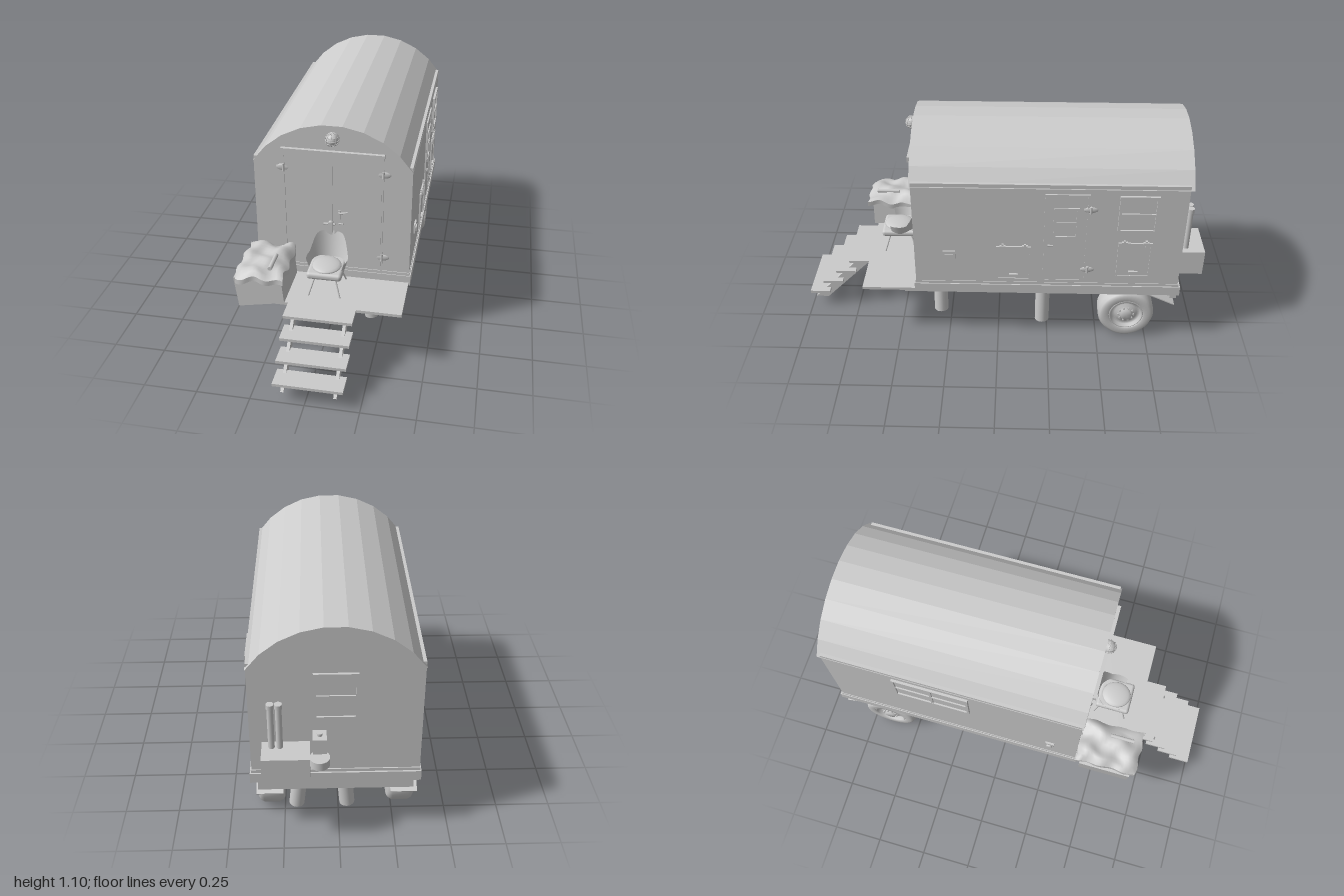
import * as THREE from 'three';
import { RoundedBoxGeometry } from 'three/addons/geometries/RoundedBoxGeometry.js';

const grey = new THREE.MeshStandardMaterial({ color: 0xcccccc });
const sheet = new THREE.MeshStandardMaterial({ color: 0xcccccc, side: THREE.DoubleSide });

function add(parent, name, geo, mat = grey) {
  const m = new THREE.Mesh(geo, mat);
  m.name = name;
  parent.add(m);
  return m;
}
// Box given by its limits on each axis
function box(parent, name, x0, x1, y0, y1, z0, z1) {
  const m = add(parent, name, new THREE.BoxGeometry(x1 - x0, y1 - y0, z1 - z0));
  m.position.set((x0 + x1) / 2, (y0 + y1) / 2, (z0 + z1) / 2);
  return m;
}
// Round bar between two points
function rod(parent, name, a, b, r, sides = 10) {
  const p = new THREE.Vector3(...a), d = new THREE.Vector3(...b).sub(p);
  const m = add(parent, name, new THREE.CylinderGeometry(r, r, d.length(), sides));
  m.position.copy(p).addScaledVector(d, 0.5);
  m.quaternion.setFromUnitVectors(new THREE.Vector3(0, 1, 0), d.normalize());
  return m;
}
function shapeOf(pts) {
  return new THREE.Shape(pts.map(p => new THREE.Vector2(...p)));
}
// Wall face: local x across, y up, z outwards
function face(parent, name, x, z, turn) {
  const g = new THREE.Group();
  g.name = name;
  g.position.set(x, 0, z);
  g.rotation.y = turn;
  parent.add(g);
  return g;
}
// Rectangular frame with an open middle
function frame(parent, name, x0, x1, y0, y1, w, depth) {
  const s = shapeOf([[x0, y0], [x1, y0], [x1, y1], [x0, y1]]);
  s.holes.push(new THREE.Path([[x0 + w, y0 + w], [x0 + w, y1 - w], [x1 - w, y1 - w], [x1 - w, y0 + w]].map(p => new THREE.Vector2(...p))));
  return add(parent, name, new THREE.ExtrudeGeometry(s, { depth, bevelEnabled: false }));
}
function windowOn(parent, x0, x1, y0, y1, cols, rows, d = 0.012) {
  frame(parent, 'windowFrame', x0, x1, y0, y1, 0.012, d);
  box(parent, 'windowPane', x0, x1, y0, y1, 0, 0.004);
  for (let i = 1; i < cols; i++) {
    const x = x0 + (x1 - x0) * i / cols;
    box(parent, 'windowMullion', x - 0.006, x + 0.006, y0, y1, 0, d * 0.9);
  }
  for (let i = 1; i < rows; i++) {
    const y = y0 + (y1 - y0) * i / rows;
    box(parent, 'windowRail', x0, x1, y - 0.005, y + 0.005, 0, d * 0.9);
  }
}
function hinge(parent, x, y, s = 1) {
  const leaf = add(parent, 'hingeLeaf', new THREE.SphereGeometry(1, 12, 6));
  leaf.scale.set(0.036 * s, 0.017 * s, 0.006);
  leaf.position.set(x, y, 0.004);
  rod(parent, 'hingePin', [x, y - 0.019 * s, 0.008], [x, y + 0.019 * s, 0.008], 0.006);
}
function hatch(parent, x0, x1, y0, y1) {
  frame(parent, 'hatchFrame', x0, x1, y0, y1, 0.008, 0.008);
  box(parent, 'hatchPanel', x0, x1, y0, y1, 0, 0.004);
  for (const x of [x0 + 0.03, x1 - 0.03]) {
    box(parent, 'hatchHinge', x - 0.014, x + 0.014, y1 - 0.01, y1 + 0.006, 0, 0.012);
    box(parent, 'hatchStrap', x - 0.005, x + 0.005, y1 - 0.03, y1 + 0.014, 0, 0.01);
  }
  const c = (x0 + x1) / 2;
  box(parent, 'hatchHandle', c - 0.022, c + 0.022, y0 + 0.028, y0 + 0.036, 0, 0.014);
}

function wheel(parent, x0, x1, side) {
  const g = face(parent, 'wheel', (x0 + x1) / 2, -0.645, side * Math.PI / 2);
  g.position.y = 0.142;
  const h = (x1 - x0) / 2;
  // Tyre and dished rim revolved around the axle
  const spin = (name, pts, n) => {
    const m = add(g, name, new THREE.LatheGeometry(pts.map(p => new THREE.Vector2(...p)), n), sheet);
    m.rotation.x = Math.PI / 2;
    return m;
  };
  spin('tyre', [[0.08, -h], [0.118, -h], [0.131, -h + 0.008], [0.14, -h + 0.025], [0.14, h - 0.025], [0.131, h - 0.008], [0.118, h], [0.09, h], [0.085, h - 0.008]], 40);
  spin('rim', [[0.086, h - 0.006], [0.078, h - 0.002], [0.073, h - 0.02], [0.055, h - 0.022], [0.045, h - 0.01], [0.03, h - 0.012], [0.028, h + 0.002], [0, h + 0.002]], 32);
  spin('innerDisc', [[0, -h + 0.02], [0.07, -h + 0.02], [0.08, -h]], 32);
  for (let i = 0; i < 10; i++) {
    const a = i * Math.PI / 5;
    rod(g, 'wheelNut', [0.038 * Math.cos(a), 0.038 * Math.sin(a), h - 0.015], [0.038 * Math.cos(a), 0.038 * Math.sin(a), h - 0.004], 0.005, 6);
  }
}

function chair(parent) {
  const g = face(parent, 'chair', 0.01, 0.515, 0);
  // Wrap-around shell, tall at the back, sinking to armrests
  const geo = new THREE.CylinderGeometry(0.098, 0.078, 1, 28, 5, true, Math.PI / 2 - 0.5, Math.PI + 1);
  const p = geo.attributes.position;
  for (let i = 0; i < p.count; i++) {
    const t = p.getY(i) + 0.5, z = p.getZ(i);
    const back = THREE.MathUtils.smoothstep(-z, 0.03, 0.085);
    p.setXYZ(i, p.getX(i), 0.41 + t * (0.065 + 0.085 * back), z - 0.012 * t * back);
  }
  geo.computeVertexNormals();
  add(g, 'chairShell', geo, sheet);
  add(g, 'chairSeat', new RoundedBoxGeometry(0.165, 0.035, 0.175, 3, 0.015)).position.set(0, 0.422, 0.005);
  const cushion = add(g, 'chairCushion', new THREE.SphereGeometry(1, 20, 10));
  cushion.scale.set(0.07, 0.018, 0.075);
  cushion.position.set(0, 0.44, 0.01);
  for (const sx of [-1, 1]) for (const sz of [-1, 1])
    rod(g, 'chairLeg', [sx * 0.045, 0.41, sz * 0.05], [sx * 0.075, 0.31, sz * 0.082], 0.004, 8);
}

function crate(parent) {
  const g = face(parent, 'coveredCrate', 0, 0.43, 0);
  const s = shapeOf([[-0.375, 0.275], [-0.158, 0.318], [-0.17, 0.445], [-0.395, 0.43]]);
  add(g, 'crate', new THREE.ExtrudeGeometry(s, { depth: 0.26, bevelEnabled: false }));
  // Crumpled cover with sagging edges
  const geo = new THREE.BoxGeometry(0.225, 0.025, 0.31, 14, 1, 18);
  const p = geo.attributes.position;
  for (let i = 0; i < p.count; i++) {
    const x = p.getX(i), z = p.getZ(i);
    const edge = Math.max(Math.abs(x) / 0.1125, Math.abs(z) / 0.155);
    const lump = 0.009 * Math.sin(x * 45 + z * 20) + 0.006 * Math.sin(z * 55 - x * 30);
    p.setXYZ(i, x + 0.005 * Math.sin(z * 50), p.getY(i) + lump - 0.028 * Math.pow(edge, 6), z + 0.006 * Math.sin(x * 60));
  }
  geo.computeVertexNormals();
  add(g, 'cover', geo).position.set(-0.272, 0.468, 0.13);
  rod(g, 'bottle', [-0.225, 0.485, 0.12], [-0.225, 0.485, 0.24], 0.01);
}

export function createModel() {
  const g = new THREE.Group();
  g.name = 'caravan';

  // Body, sill and barrel roof
  box(g, 'body', -0.355, 0.385, 0.3, 0.92, -0.877, 0.402);
  box(g, 'sill', -0.362, 0.393, 0.295, 0.345, -0.89, 0.41);
  box(g, 'sillTop', -0.358, 0.388, 0.345, 0.36, -0.882, 0.406);
  const R = 0.442, half = Math.asin(0.372 / R), N = 9, arc = [];
  for (let i = 0; i <= N; i++) {
    const a = half - 2 * half * i / N;
    arc.push([0.015 + R * Math.sin(a), 0.66 + R * Math.cos(a)]);
  }
  add(g, 'roof', new THREE.ExtrudeGeometry(shapeOf(arc), { depth: 1.305, bevelEnabled: false })).position.z = -0.895;

  // Front double door, ledge, lock and lamp
  const front = face(g, 'frontFace', 0, 0.402, 0);
  box(front, 'doorLeaf', -0.207, 0.016, 0.37, 0.937, 0, 0.008);
  box(front, 'doorLeaf', 0.024, 0.246, 0.37, 0.937, 0, 0.008);
  for (const x of [-0.212, 0.251]) box(front, 'doorPost', x - 0.004, x + 0.004, 0.365, 0.955, 0, 0.01);
  box(front, 'doorHead', -0.216, 0.255, 0.94, 0.96, 0, 0.01);
  box(front, 'doorLedge', -0.22, 0.258, 0.955, 0.98, 0, 0.025);
  for (const x of [-0.213, 0.252]) for (const y of [0.435, 0.875]) hinge(front, x, y);
  box(front, 'lockPlate', 0.044, 0.056, 0.628, 0.677, 0.008, 0.013);
  rod(front, 'doorHandle', [0.05, 0.664, 0.022], [0.09, 0.672, 0.022], 0.004);
  rod(front, 'handleStem', [0.05, 0.664, 0], [0.05, 0.664, 0.024], 0.005);
  rod(front, 'boltBar', [-0.025, 0.6, 0.015], [0.03, 0.6, 0.015], 0.005);
  rod(front, 'padlock', [0.008, 0.603, 0], [0.008, 0.603, 0.025], 0.012);
  rod(front, 'boltBar', [0.045, 0.603, 0.012], [0.068, 0.603, 0.012], 0.004);
  const lamp = face(front, 'lamp', 0.02, 0.022, 0);
  lamp.position.y = 1.04;
  add(lamp, 'lampGlass', new THREE.SphereGeometry(0.029, 20, 14));
  rod(lamp, 'lampBase', [0, 0, -0.03], [0, 0, -0.005], 0.031, 20);
  for (let i = 0; i < 4; i++) add(lamp, 'lampCage', new THREE.TorusGeometry(0.031, 0.002, 6, 24)).rotation.y = i * Math.PI / 4;
  for (const y of [-0.015, 0, 0.015]) {
    const ring = add(lamp, 'lampCage', new THREE.TorusGeometry(Math.sqrt(0.031 ** 2 - y * y), 0.002, 6, 24));
    ring.rotation.x = Math.PI / 2;
    ring.position.y = y;
  }

  // Side with the single door, hatches and window
  const right = face(g, 'doorSide', 0.385, 0, Math.PI / 2);
  frame(right, 'sideDoorFrame', 0.217, 0.425, 0.37, 0.872, 0.01, 0.007);
  box(right, 'sideDoor', 0.225, 0.417, 0.375, 0.865, 0, 0.004);
  windowOn(right, 0.26, 0.378, 0.628, 0.8, 1, 2, 0.01);
  for (const y of [0.445, 0.79]) hinge(right, 0.43, y, 0.95);
  rod(right, 'sideDoorHandle', [0.235, 0.59, 0.012], [0.262, 0.59, 0.012], 0.004);
  windowOn(right, 0.56, 0.742, 0.67, 0.868, 1, 2);
  hatch(right, -0.008, 0.158, 0.378, 0.575);
  hatch(right, 0.57, 0.732, 0.405, 0.605);
  box(right, 'socket', -0.265, -0.205, 0.5, 0.543, 0, 0.008);
  box(right, 'socketCap', -0.255, -0.215, 0.508, 0.528, 0, 0.013);

  // Opposite side and back
  const left = face(g, 'windowSide', -0.355, 0, -Math.PI / 2);
  windowOn(left, -0.53, -0.15, 0.67, 0.865, 2, 2);
  box(left, 'socket', 0.24, 0.285, 0.465, 0.52, 0, 0.01);
  rod(left, 'socketCap', [0.262, 0.49, 0], [0.262, 0.49, 0.018], 0.015, 14);
  const back = face(g, 'backFace', 0, -0.877, Math.PI);
  windowOn(back, -0.11, 0.08, 0.64, 0.87, 1, 2);
  box(back, 'gasBox', -0.333, -0.127, 0.385, 0.515, 0, 0.123);
  for (const x of [-0.255, -0.29]) {
    rod(back, 'fluePipe', [x, 0.5, 0.035], [x, 0.735, 0.035], 0.014, 12);
    rod(back, 'flueCap', [x, 0.72, 0.035], [x, 0.742, 0.035], 0.017, 12);
  }
  box(back, 'meterBox', -0.115, -0.055, 0.5, 0.575, 0, 0.07);
  rod(back, 'meterCap', [-0.085, 0.57, 0.035], [-0.085, 0.587, 0.035], 0.012, 12);
  rod(back, 'roundVent', [-0.085, 0.41, 0.03], [-0.085, 0.45, 0.03], 0.045, 18);
  box(g, 'rearBar', -0.33, 0.36, 0.25, 0.295, -0.885, -0.852);

  // Porch deck and stairs
  box(g, 'porch', -0.35, 0.385, 0.295, 0.309, 0.4, 0.672);
  for (let i = 0; i < 4; i++) {
    const y = 0.302 - i * 0.068, z = 0.725 + i * 0.075;
    box(g, 'stairTread', -0.145, 0.175, y - 0.007, y + 0.007, z - 0.053, z + 0.05);
  }
  const stringer = shapeOf([[0.665, 0.295], [0.735, 0.295], [0.98, 0.045], [0.915, 0.045]]);
  for (const x of [-0.098, 0.143]) {
    const m = add(g, 'stairStringer', new THREE.ExtrudeGeometry(stringer, { depth: 0.015, bevelEnabled: false }));
    m.rotation.y = -Math.PI / 2;
    m.position.x = x;
  }
  chair(g);
  crate(g);

  // Chassis, leaning posts, axle and wheels
  box(g, 'underframe', -0.31, 0.335, 0.247, 0.297, -0.14, 0.47);
  for (const [top, foot, z] of [[0.165, 0.195, 0.305], [-0.02, -0.042, 0.305], [0.245, 0.262, -0.225], [-0.17, -0.185, -0.225], [0.165, 0.195, -0.725], [-0.02, -0.042, -0.725]])
    rod(g, 'supportPost', [top, 0.3, z], [foot, 0.022, z], 0.036, 16);
  box(g, 'storageBox', -0.275, -0.072, 0.145, 0.3, -0.55, -0.31);
  box(g, 'axle', -0.24, 0.26, 0.128, 0.163, -0.662, -0.628);
  for (const x of [-0.2, 0.22]) rod(g, 'axleStrut', [x, 0.145, -0.645], [x * 0.9, 0.3, -0.5], 0.012);
  wheel(g, -0.35, -0.228, -1);
  wheel(g, 0.25, 0.37, 1);
  // Mudguards: flat above the wheel, sloping behind it
  for (const x0 of [-0.35, 0.25]) {
    box(g, 'mudguard', x0, x0 + 0.12, 0.286, 0.296, -0.74, -0.42);
    const flap = box(g, 'mudguardFlap', x0, x0 + 0.12, 0.247, 0.252, -0.885, -0.725);
    flap.rotation.x = -Math.atan2(0.07, 0.15);
  }
  return g;
}
